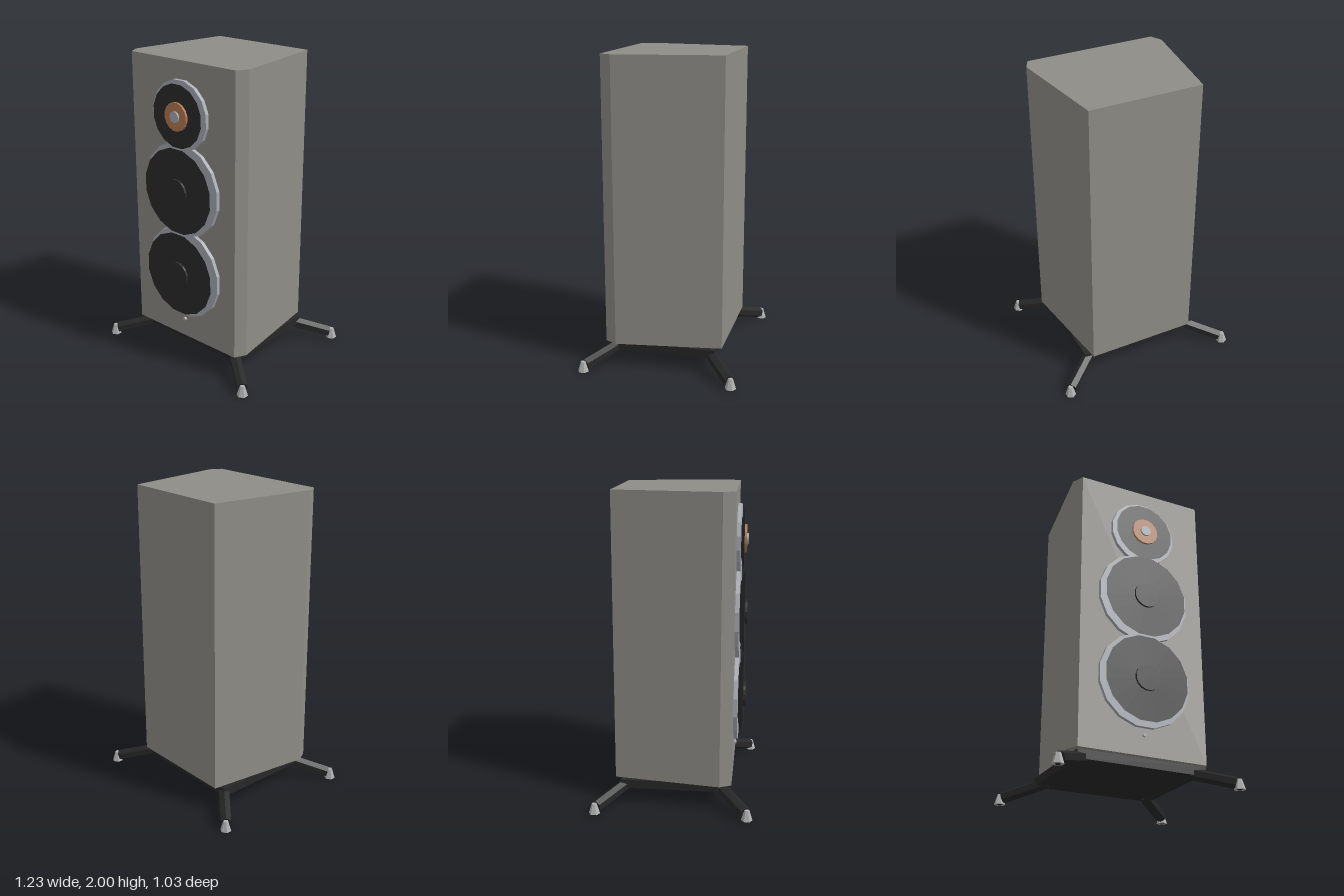
import * as THREE from 'three';

const mat = (name, color) => {
  const m = new THREE.MeshStandardMaterial({ color });
  m.name = name;
  m.flatShading = true;
  return m;
};

export function createModel() {
  const model = new THREE.Group();
  model.name = 'floorSpeaker';
  const grey = mat('cabinetGrey', 0x8f8d87);
  const black = mat('coneBlack', 0x2b2b2b);
  const baseBlack = mat('baseBlack', 0x272728);
  const silver = mat('trimSilver', 0xa8acb4);
  const copper = mat('copper', 0xb57a52);
  const steel = mat('footSteel', 0xb0b0b0);

  const add = (name, geometry, material, parent = model) => {
    const mesh = new THREE.Mesh(geometry, material);
    mesh.name = name;
    parent.add(mesh);
    return mesh;
  };

  // Cabinet: tapered plan with chamfered front corners
  const plan = new THREE.Shape([
    [-0.365, 0.377], [-0.463, -0.3], [-0.425, -0.375],
    [0.425, -0.375], [0.463, -0.3], [0.365, 0.377],
  ].map(([x, y]) => new THREE.Vector2(x, y)));
  const body = new THREE.ExtrudeGeometry(plan, { depth: 1.845, bevelEnabled: false });
  body.rotateX(-Math.PI / 2);
  add('cabinet', body, grey).position.y = 0.155;

  // Disc facing forward between z0 and z1, with back and front radii
  const disc = (name, y, z0, z1, rBack, rFront, material, parent, sides = 16) => {
    const g = new THREE.CylinderGeometry(rFront, rBack, z1 - z0, sides);
    g.rotateY(Math.PI / sides);
    g.rotateX(Math.PI / 2);
    add(name, g, material, parent).position.set(0, y, (z0 + z1) / 2);
  };
  const driver = (name) => {
    const g = new THREE.Group();
    g.name = name;
    model.add(g);
    return g;
  };

  // Two woofers
  for (const [name, y] of [['upperWoofer', 1.19], ['lowerWoofer', 0.628]]) {
    const g = driver(name);
    disc('wooferRing', y, 0.37, 0.4, 0.307, 0.307, silver, g);
    disc('wooferCone', y, 0.4, 0.432, 0.195, 0.28, black, g);
    disc('dustCap', y, 0.43, 0.446, 0.083, 0.083, black, g);
  }

  // Tweeter
  const tweeter = driver('tweeter');
  disc('tweeterRing', 1.667, 0.37, 0.4, 0.222, 0.222, silver, tweeter);
  disc('tweeterPlate', 1.667, 0.4, 0.42, 0.13, 0.2, black, tweeter);
  disc('copperDome', 1.667, 0.418, 0.434, 0.09, 0.09, copper, tweeter);
  disc('domeCentre', 1.667, 0.43, 0.445, 0.035, 0.035, silver, tweeter);

  // Small indicator below the drivers
  disc('indicator', 0.282, 0.37, 0.39, 0.012, 0.012, silver, model, 8);

  // Base plate
  add('basePlate', new THREE.BoxGeometry(0.82, 0.056, 0.676), baseBlack).position.y = 0.127;

  // Splayed legs and conical feet
  const up = new THREE.Vector3(0, 1, 0);
  for (const sx of [-1, 1]) {
    for (const sz of [-1, 1]) {
      const start = new THREE.Vector3(sx * 0.34, 0.123, sz * 0.283);
      const end = new THREE.Vector3(sx * 0.57, 0.042, sz * 0.467);
      const dir = end.clone().sub(start);
      const along = new THREE.Vector3(0, 0, 1);
      const g = new THREE.CylinderGeometry(0.038, 0.038, dir.length(), 6);
      g.rotateX(Math.PI / 2);
      const leg = add('leg', g, baseBlack);
      leg.position.copy(start).add(end).multiplyScalar(0.5);
      // Aim the leg while keeping its ridge on top
      const side = up.clone().cross(dir).normalize();
      along.copy(dir).normalize();
      const top = along.clone().cross(side);
      leg.quaternion.setFromRotationMatrix(new THREE.Matrix4().makeBasis(side, top, along));

      const foot = add('foot', new THREE.CylinderGeometry(0.016, 0.036, 0.066, 6), steel);
      foot.position.set(sx * 0.583, 0.033, sz * 0.479);
      const pad = add('footPad', new THREE.CylinderGeometry(0.018, 0.018, 0.004, 6), baseBlack);
      pad.position.set(sx * 0.583, 0.0015, sz * 0.479);
    }
  }
  return model;
}
